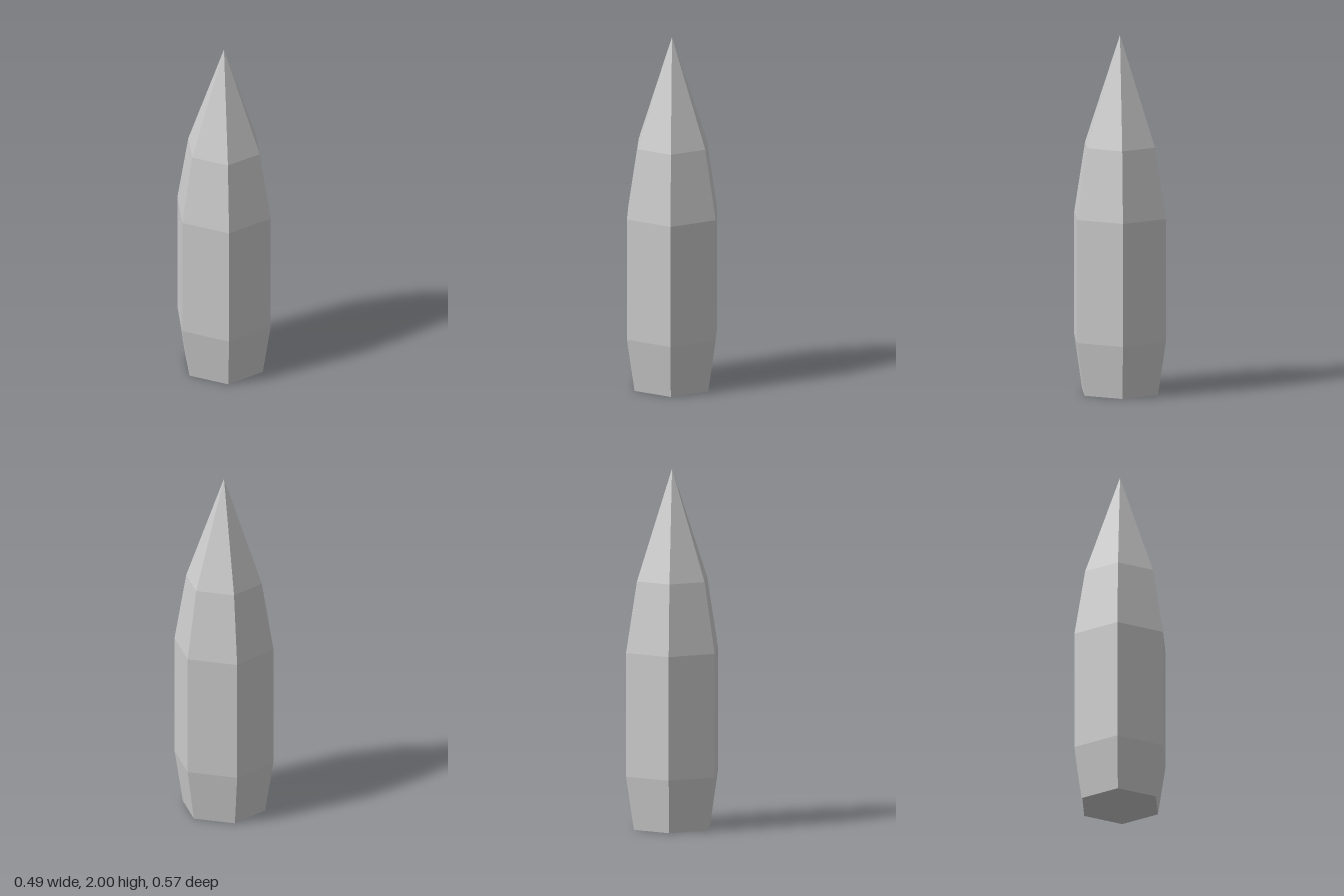
import * as THREE from 'three';

// [radius to corner, height], from base centre to tip
const PROFILE = [
  [0, 0],
  [0.235, 0],
  [0.283, 0.3],
  [0.283, 0.99],
  [0.216, 1.385],
  [0, 2],
];

export function createModel() {
  const group = new THREE.Group();
  group.name = 'crystal';

  // Six-sided faceted shard with a corner facing the front
  const points = PROFILE.map(([r, y]) => new THREE.Vector2(r, y));
  const geometry = new THREE.LatheGeometry(points, 6).toNonIndexed();
  geometry.computeVertexNormals();

  const material = new THREE.MeshStandardMaterial({ color: 0xcccccc, flatShading: true });
  const shard = new THREE.Mesh(geometry, material);
  shard.name = 'crystalShard';
  group.add(shard);
  return group;
}
